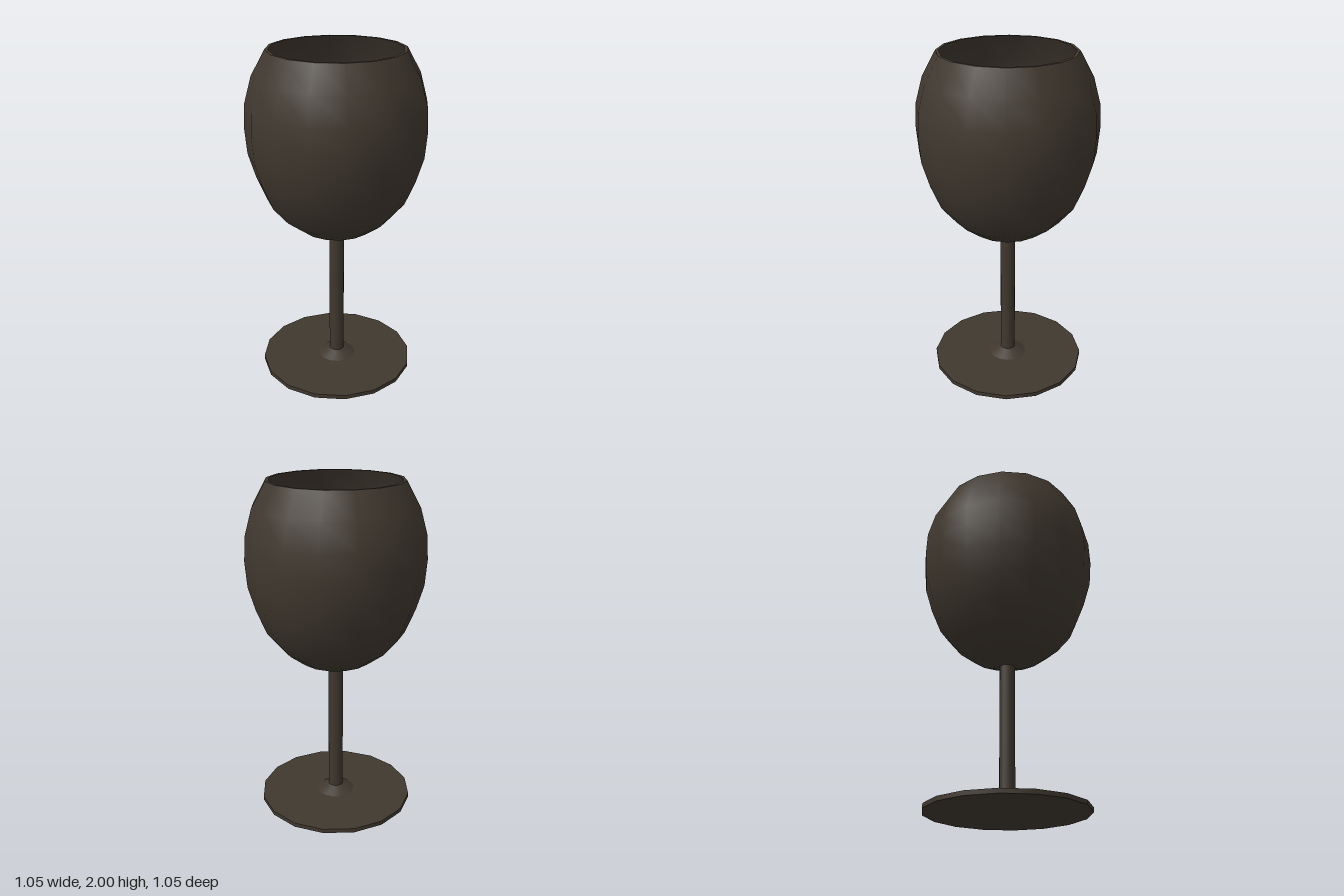
import * as THREE from 'three';

const SIDES = 16;

export function createModel() {
  const model = new THREE.Group();
  model.name = 'wineGlass';
  const darkBrown = new THREE.MeshStandardMaterial({ color: 0x40382f });
  darkBrown.name = 'darkBrown';

  // Each lathe is smooth along its own profile; separate lathes meet at sharp edges.
  function turned(name, profile, parent) {
    const points = profile.map(([r, y]) => new THREE.Vector2(r, y));
    const mesh = new THREE.Mesh(new THREE.LatheGeometry(points, SIDES), darkBrown);
    mesh.name = name;
    parent.add(mesh);
  }

  function part(name) {
    const group = new THREE.Group();
    group.name = name;
    model.add(group);
    return group;
  }

  // Bowl: outer wall, flat rim and inner wall
  const bowl = part('bowl');
  const outer = [
    [0, 0.86], [0.045, 0.867], [0.217, 0.935], [0.322, 1.015], [0.41, 1.12], [0.47, 1.265],
    [0.513, 1.41], [0.525, 1.56], [0.518, 1.7], [0.475, 1.855], [0.395, 2],
  ];
  const inner = [
    [0.377, 2], [0.457, 1.85], [0.499, 1.7], [0.506, 1.56], [0.494, 1.412], [0.452, 1.27],
    [0.394, 1.13], [0.31, 1.03], [0.21, 0.953], [0.045, 0.886], [0, 0.88],
  ];
  turned('bowlOuter', outer, bowl);
  turned('bowlRim', [[0.395, 2], [0.377, 2]], bowl);
  turned('bowlInner', inner, bowl);

  // Stem
  turned('stem', [[0.045, 0.06], [0.045, 0.87]], model);

  // Foot: disc with a small cone around the stem
  const foot = part('foot');
  turned('footUnderside', [[0, 0], [0.47, 0]], foot);
  turned('footEdge', [[0.47, 0], [0.47, 0.026]], foot);
  turned('footTop', [[0.47, 0.026], [0.115, 0.026]], foot);
  turned('footCollar', [[0.115, 0.026], [0.045, 0.064]], foot);

  return model;
}
